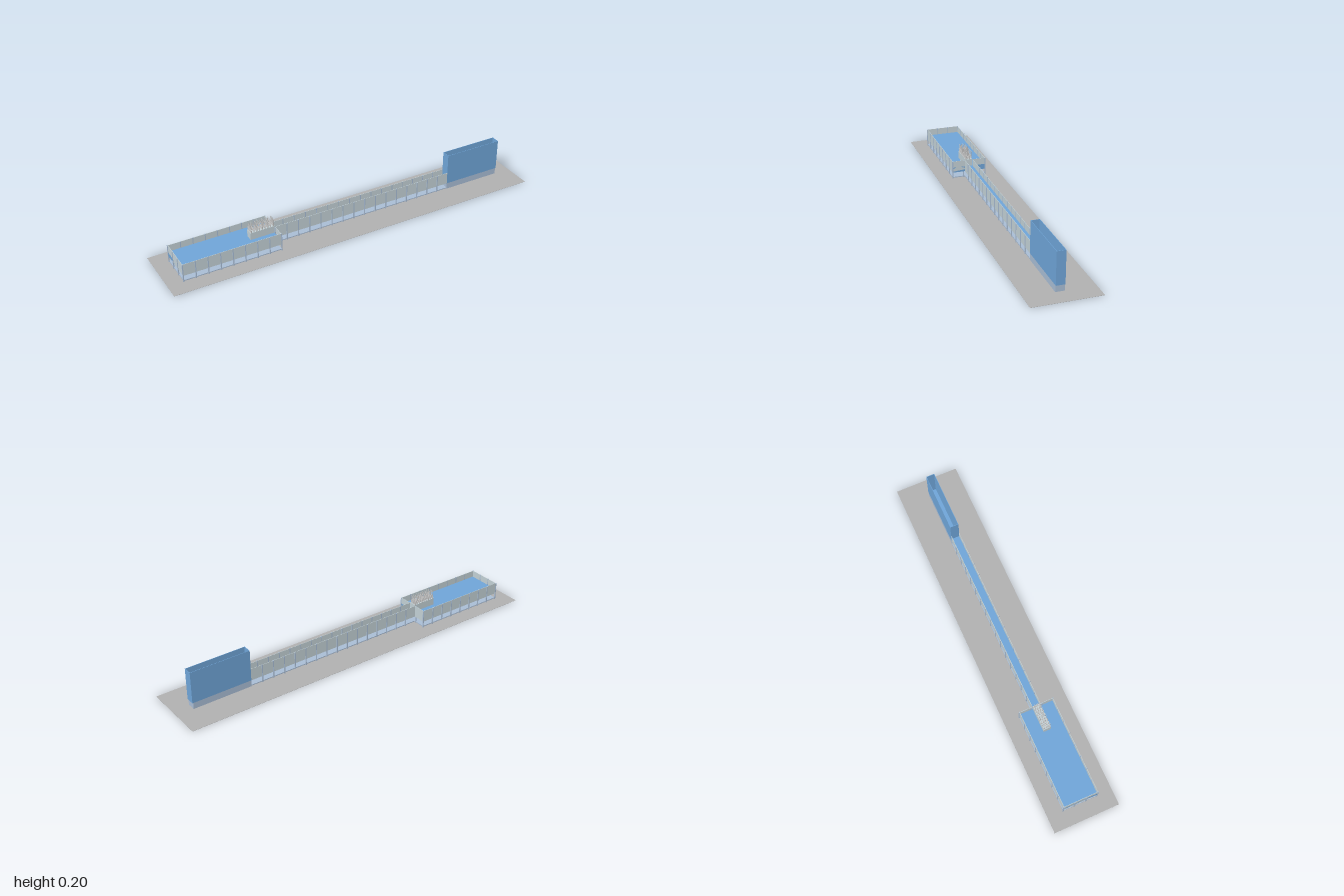
import * as THREE from 'three';

const mat = (color) => new THREE.MeshStandardMaterial({ color, side: THREE.DoubleSide });
const BLUE = mat(0x6fa5d8), FRAME = mat(0xa9bdd5), PANEL = mat(0xc3d1d6), GREY = mat(0xcccccc), GROUND = mat(0xb0b0b0);

// Box given by its lower and upper corners
function block(parent, name, material, x0, x1, y0, y1, z0, z1) {
  const mesh = new THREE.Mesh(new THREE.BoxGeometry(x1 - x0, y1 - y0, z1 - z0), material);
  mesh.position.set((x0 + x1) / 2, (y0 + y1) / 2, (z0 + z1) / 2);
  mesh.name = name;
  parent.add(mesh);
  return mesh;
}

function section(parent, name) {
  const g = new THREE.Group();
  g.name = name;
  parent.add(g);
  return g;
}

export function createModel() {
  const model = new THREE.Group();
  model.name = 'waterChannel';

  const X0 = -0.92, X1 = -0.41, X2 = 0.596, X3 = 0.914; // basin, channel, tower limits
  const LOW = 0.034, TOP = 0.097, WATER = 0.062, T = 0.002;
  const BZ = 0.09, CZ = 0.0225, P = 0.0025;

  const post = (g, x, z) => block(g, 'post', FRAME, x - P, x + P, 0, TOP, z - P, z + P);

  block(model, 'ground', GROUND, -1, 1, 0, 0.001, -0.171, 0.171);

  // Wide basin: walls, water, base plate and posts
  const basin = section(model, 'basin');
  block(basin, 'water', BLUE, X0, X1, LOW, WATER, -BZ + T, BZ - T);
  block(basin, 'basePlate', FRAME, X0, X1, 0.004, 0.009, -BZ, BZ);
  block(basin, 'endWall', PANEL, X0, X0 + T, LOW, TOP, -BZ, BZ);
  for (const s of [-1, 1]) {
    const z = s * BZ;
    block(basin, 'sideWall', PANEL, X0, X1, LOW, TOP, Math.min(z, z - s * T), Math.max(z, z - s * T));
    const a = s * CZ;
    block(basin, 'shoulderWall', PANEL, X1 - T, X1, LOW, TOP, Math.min(a, z), Math.max(a, z));
    for (let i = 0; i <= 8; i++) post(basin, X0 + (X1 - X0) * i / 8, z);
    post(basin, X0, s * 0.03);
    post(basin, X1 - P, s * 0.029);
  }

  // Long narrow channel
  const channel = section(model, 'channel');
  block(channel, 'water', BLUE, X1, X2, LOW, WATER, -CZ + T, CZ - T);
  block(channel, 'basePlate', FRAME, X1, X2, 0.004, 0.009, -CZ, CZ);
  for (const s of [-1, 1]) {
    const z = s * (CZ - T / 2);
    block(channel, 'sideWall', PANEL, X1, X2, LOW, TOP, z - T / 2, z + T / 2);
    for (let i = 1; i < 16; i++) post(channel, X1 + (X2 - X1) * i / 16, s * CZ);
  }

  // Tall open-topped tank on a plinth
  const tank = section(model, 'tank');
  block(tank, 'plinth', FRAME, X2, X3 - 0.004, 0, LOW, -CZ, CZ);
  block(tank, 'floor', BLUE, X2, X3, LOW, LOW + T, -CZ, CZ);
  for (const s of [-1, 1]) {
    const z = s * (CZ - T / 2);
    block(tank, 'sideWall', BLUE, X2, X3, LOW, 0.2, z - T / 2, z + T / 2);
  }
  for (const x of [X2, X3 - T]) block(tank, 'endWall', BLUE, x, x + T, LOW, 0.2, -CZ, CZ);

  // Block at the channel mouth carrying a grid of upright rods
  const rodUnit = section(model, 'rodUnit');
  block(rodUnit, 'rodBase', PANEL, -0.54, X1, LOW, 0.1, -0.019, 0.019);
  const rodGeo = new THREE.CylinderGeometry(0.0016, 0.0016, 0.042, 8);
  const collarGeo = new THREE.CylinderGeometry(0.0035, 0.0035, 0.016, 8);
  for (let i = 0; i < 9; i++) {
    for (let j = 0; j < 4; j++) {
      const x = -0.534 + i * 0.0147, z = -0.015 + j * 0.01;
      const rod = new THREE.Mesh(rodGeo, GREY);
      rod.name = 'rod';
      rod.position.set(x, 0.121, z);
      const collar = new THREE.Mesh(collarGeo, GREY);
      collar.name = 'rodCollar';
      collar.position.set(x, 0.108, z);
      rodUnit.add(rod, collar);
    }
  }
  return model;
}
